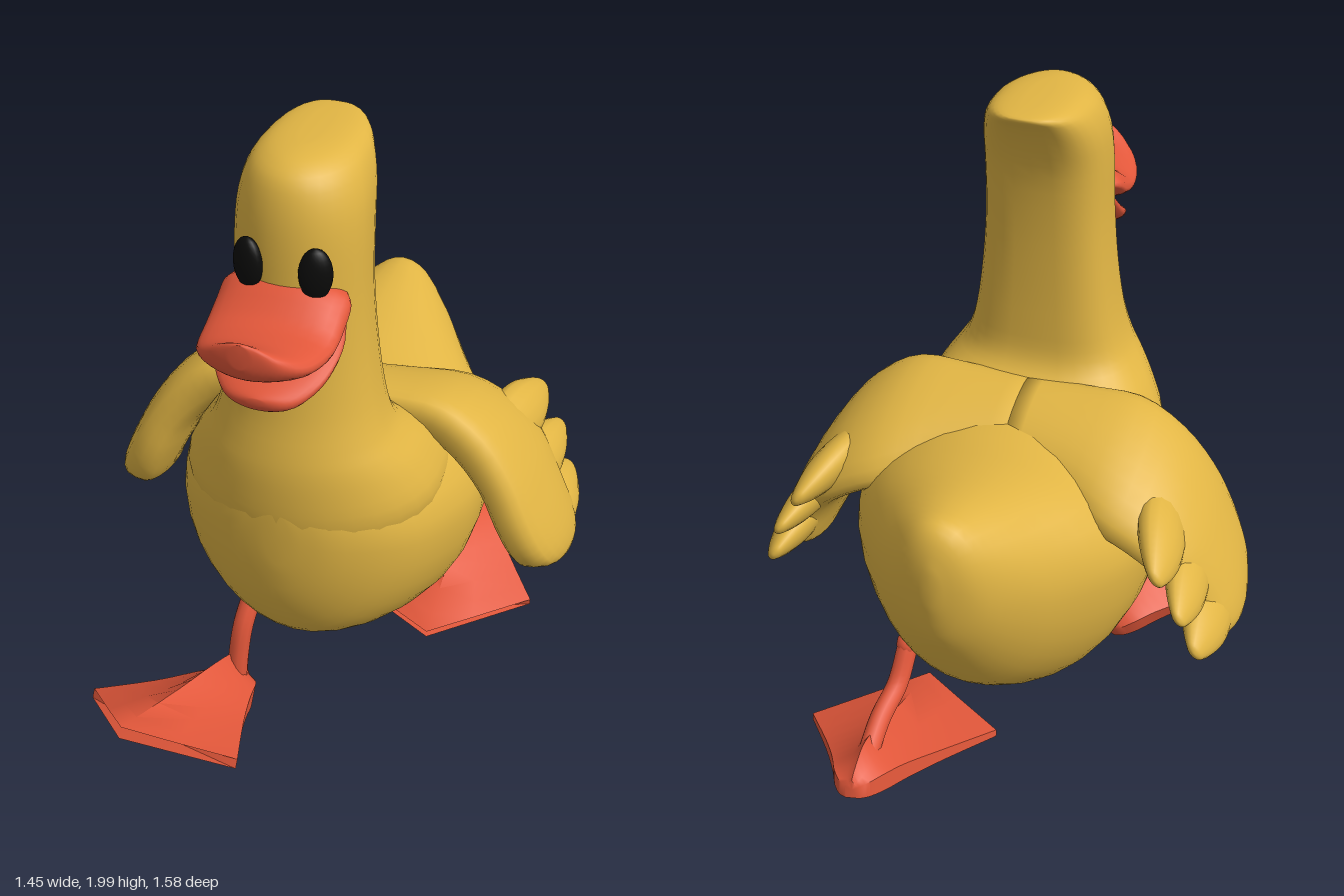
import * as THREE from 'three';
import { toCreasedNormals } from 'three/addons/utils/BufferGeometryUtils.js';

const V = (x, y, z) => new THREE.Vector3(x, y, z);
const yellow = new THREE.MeshStandardMaterial({ color: 0xe1b544 });
yellow.name = 'yellow feathers';
const orange = new THREE.MeshStandardMaterial({ color: 0xe2573a });
orange.name = 'orange skin';
const black = new THREE.MeshStandardMaterial({ color: 0x0b0b0a });
black.name = 'black eyes';

// Resample rows of numbers with a Catmull-Rom spline
function smooth(rows, steps = 3) {
  const out = [];
  const at = (i) => rows[Math.min(Math.max(i, 0), rows.length - 1)];
  for (let i = 0; i < rows.length - 1; i++) {
    for (let s = 0; s < steps; s++) {
      const t = s / steps;
      out.push(at(i).map((b, k) => {
        const a = at(i - 1)[k], c = at(i + 1)[k], d = at(i + 2)[k];
        return b + 0.5 * t * (c - a + t * (2 * a - 5 * b + 4 * c - d + t * (3 * (b - c) + d - a)));
      }));
    }
  }
  out.push(rows[rows.length - 1]);
  return out;
}

// Closed skin over rings of points, with fan caps, always facing outwards
function loft(rings) {
  const n = rings[0].length, pts = rings.flat(), index = [];
  const quad = (a, b, c, d) => index.push(a, b, c, a, c, d);
  for (let r = 0; r < rings.length - 1; r++) {
    for (let i = 0; i < n; i++) {
      const j = (i + 1) % n;
      quad(r * n + i, r * n + j, (r + 1) * n + j, (r + 1) * n + i);
    }
  }
  [0, rings.length - 1].forEach((r, end) => {
    const centre = rings[r].reduce((s, p) => s.add(p), V(0, 0, 0)).divideScalar(n);
    const c = pts.push(centre) - 1;
    for (let i = 0; i < n; i++) {
      const a = r * n + i, b = r * n + (i + 1) % n;
      index.push(c, end ? a : b, end ? b : a);
    }
  });
  let volume = 0;
  for (let i = 0; i < index.length; i += 3) {
    volume += pts[index[i]].dot(V(0, 0, 0).crossVectors(pts[index[i + 1]], pts[index[i + 2]]));
  }
  if (volume < 0) index.reverse();
  const geo = new THREE.BufferGeometry().setFromPoints(pts);
  geo.setIndex(index);
  geo.computeVertexNormals();
  return geo;
}

const ring = (n, f) => Array.from({ length: n }, (_, i) => {
  const a = (i / n) * Math.PI * 2;
  return f(Math.cos(a), Math.sin(a));
});
const boxy = (v, e) => Math.sign(v) * Math.abs(v) ** e;

// Rows [z, bottom, widest y, top, half width]
const loftAlongZ = (rows, n = 28) => loft(smooth(rows).map(([z, b, m, t, w]) =>
  ring(n, (c, s) => V(c * w, m + s * (s > 0 ? t - m : m - b), z))));

// Rows [y, half width, front z, back z], squarer towards the back
const loftAlongY = (rows, n = 32) => loft(smooth(rows).map(([y, w, f, b]) => ring(n, (c, s) => {
  const e = s < 0 ? 0.7 : 1;
  return V(boxy(c, e) * w, y, (f + b) / 2 + boxy(s, e) * (f - b) / 2);
})));

function add(parent, name, geo, mat) {
  const mesh = new THREE.Mesh(geo, mat);
  mesh.name = name;
  parent.add(mesh);
  return mesh;
}

// Wing: palm arching out from the shoulder, ending in three feather fingers
function wing(side) {
  const g = new THREE.Group();
  g.name = side > 0 ? 'leftWing' : 'rightWing';
  // Rows: x, y, half thickness, front z, back z, backward slope, arm angle
  const palm = smooth([
    [0, 1.055, 0.085, 0.075, -0.2, 0.3, 0], [0.18, 1.055, 0.085, 0.08, -0.25, 0.3, -0.05],
    [0.32, 1.035, 0.09, 0.09, -0.33, 0.32, -0.35], [0.43, 0.975, 0.09, 0.1, -0.345, 0.25, -0.75],
    [0.515, 0.89, 0.082, 0.115, -0.34, 0.15, -1], [0.57, 0.8, 0.08, 0.125, -0.31, 0.05, -1.1],
    [0.615, 0.71, 0.079, 0.11, -0.29, 0, -1.15], [0.645, 0.64, 0.075, 0.065, -0.29, 0, -1.25],
    [0.658, 0.59, 0.066, -0.02, -0.26, 0, -1.4], [0.658, 0.567, 0.03, -0.09, -0.21, 0, -1.5]]);
  const geos = [loft(palm.map(([x, y, h, f, b, slope, angle]) => ring(24, (c, s) => {
    const dz = s * (f - b) / 2, t = boxy(c, s > 0 ? 0.65 : 0.9) * h;
    return V(x - Math.sin(angle) * t, y + Math.cos(angle) * t + slope * dz, (f + b) / 2 + dz);
  })))];
  // Fingers: base point, tip point, base radius
  [[V(0.47, 0.95, -0.12), V(0.53, 0.925, -0.46), 0.088],
    [V(0.56, 0.805, -0.12), V(0.6, 0.797, -0.455), 0.08],
    [V(0.635, 0.665, -0.1), V(0.645, 0.665, -0.425), 0.088]].forEach(([a, b, r]) => {
    const rows = smooth([[0, 0.75], [0.35, 0.95], [0.6, 0.88], [0.8, 0.64], [0.93, 0.39], [0.98, 0.24], [1, 0.06]]);
    geos.push(loft(rows.map(([t, k]) => {
      const p = a.clone().lerp(b, t);
      // lean each feather with the arm
      return ring(16, (c, s) => V(p.x + (c * 0.72 - s * 0.4) * r * k, p.y + s * r * k, p.z));
    })));
  });
  geos.forEach((geo, i) => {
    if (side < 0) {
      geo.scale(-1, 1, 1);
      geo.index.array.reverse();
      geo.computeVertexNormals();
    }
    add(g, i ? 'wingFeather' : 'wingPalm', geo, yellow);
  });
  return g;
}

// Webbed foot spreading from the heel to two corners and a middle toe
function foot(heel, a, toe, b, ridgeScale) {
  const across = b.clone().sub(a).normalize();
  const up = across.clone().cross(toe.clone().sub(heel)).normalize();
  if (up.y < 0) up.negate();
  const lift = (p, h) => p.clone().addScaledVector(up, h * ridgeScale);
  // Rows: distance, extra width, edge thickness, ridge height
  const rows = smooth([[0, 0.02, 0.05, 0.08], [0.04, 0.035, 0.065, 0.11], [0.15, 0.035, 0.075, 0.16],
    [0.32, 0.02, 0.07, 0.145], [0.6, 0.006, 0.05, 0.095], [1, 0, 0.03, 0.035]]);
  const rings = rows.map(([u, w, edge, ridge]) => {
    const l = heel.clone().lerp(a, u).addScaledVector(across, -w);
    const m = heel.clone().lerp(toe, u);
    const r = heel.clone().lerp(b, u).addScaledVector(across, w);
    const hollow = edge + 0.3 * (ridge - edge);
    return [l, m, r, lift(r, edge), lift(r.clone().lerp(m, 0.55), hollow), lift(m, ridge),
      lift(l.clone().lerp(m, 0.55), hollow), lift(l, edge)];
  });
  return toCreasedNormals(loft(rings), 0.9);
}

function leg(name, path, radius, footGeo) {
  const g = new THREE.Group();
  g.name = name;
  add(g, 'shin', new THREE.TubeGeometry(new THREE.CatmullRomCurve3(path), 16, radius, 10), orange);
  const hip = add(g, 'hip', new THREE.SphereGeometry(radius * 1.12, 12, 8), orange);
  hip.position.copy(path[0]);
  add(g, 'webbedFoot', footGeo, orange);
  return g;
}

export function createModel() {
  const duck = new THREE.Group();
  duck.name = 'duck';

  // Round belly rising to a pointed tail
  add(duck, 'bodyAndTail', loftAlongZ([
    [0.488, 0.82, 0.91, 1.0, 0.04], [0.465, 0.66, 0.89, 1.08, 0.15], [0.4, 0.5, 0.87, 1.13, 0.265],
    [0.3, 0.41, 0.84, 1.15, 0.355], [0.15, 0.33, 0.81, 1.14, 0.42], [0, 0.285, 0.78, 1.12, 0.45],
    [-0.2, 0.268, 0.78, 1.1, 0.44], [-0.35, 0.3, 0.79, 1.115, 0.39], [-0.5, 0.42, 0.82, 1.14, 0.29],
    [-0.6, 0.55, 0.87, 1.152, 0.215], [-0.68, 0.7, 0.92, 1.155, 0.14], [-0.72, 0.8, 0.97, 1.11, 0.08],
    [-0.74, 0.92, 0.97, 1.03, 0.02]], 32), yellow);

  // Chest, neck and crested head
  add(duck, 'neckAndHead', loftAlongY([
    [0.88, 0.36, 0.475, -0.18], [0.97, 0.375, 0.488, -0.16],
    [1.07, 0.33, 0.488, -0.08], [1.14, 0.28, 0.482, 0.03], [1.2, 0.244, 0.47, 0.075],
    [1.3, 0.216, 0.447, 0.085], [1.45, 0.194, 0.428, 0.09], [1.62, 0.18, 0.42, 0.088],
    [1.78, 0.176, 0.413, 0.073], [1.88, 0.168, 0.4, 0.04], [1.95, 0.146, 0.375, 0],
    [1.983, 0.115, 0.335, -0.028], [1.996, 0.075, 0.29, -0.022], [2.0, 0.03, 0.24, 0.03]]), yellow);

  duck.add(wing(1), wing(-1));

  // Upturned upper bill and open lower bill
  add(duck, 'upperBill', loftAlongZ([
    [0.335, 1.635, 1.655, 1.68, 0.15], [0.37, 1.6, 1.64, 1.7, 0.173], [0.42, 1.56, 1.61, 1.69, 0.175],
    [0.5, 1.538, 1.585, 1.635, 0.174], [0.58, 1.54, 1.588, 1.637, 0.16], [0.63, 1.552, 1.6, 1.652, 0.138],
    [0.665, 1.568, 1.62, 1.673, 0.105], [0.685, 1.592, 1.64, 1.688, 0.07], [0.695, 1.62, 1.655, 1.688, 0.025]]), orange);
  add(duck, 'lowerBill', loftAlongZ([
    [0.34, 1.57, 1.62, 1.67, 0.15], [0.4, 1.5, 1.55, 1.6, 0.167], [0.46, 1.455, 1.515, 1.55, 0.163],
    [0.52, 1.43, 1.485, 1.515, 0.143], [0.57, 1.42, 1.46, 1.49, 0.105], [0.595, 1.43, 1.455, 1.478, 0.065],
    [0.605, 1.45, 1.46, 1.47, 0.02]]), orange);

  // Oval eyes
  for (const side of [-1, 1]) {
    const eye = add(duck, side > 0 ? 'leftEye' : 'rightEye', new THREE.SphereGeometry(1, 20, 14), black);
    eye.scale.set(0.044, 0.073, 0.028);
    eye.position.set(side * 0.09, 1.733, 0.402);
    eye.rotation.y = side * 0.35;
  }

  // Right leg strides forward, left leg pushes off behind
  duck.add(leg('rightLeg', [V(-0.2, 0.4, 0.2), V(-0.215, 0.31, 0.25), V(-0.225, 0.2, 0.275), V(-0.23, 0.09, 0.29)], 0.033,
    foot(V(-0.22, 0.01, 0.265), V(-0.62, 0.115, 0.53), V(-0.39, 0.285, 0.79), V(-0.07, 0.165, 0.69), 1)));
  duck.add(leg('leftLeg', [V(0.24, 0.39, -0.375), V(0.25, 0.285, -0.45), V(0.265, 0.235, -0.55), V(0.265, 0.17, -0.67)], 0.033,
    foot(V(0.26, 0.13, -0.785), V(0.56, 0.015, -0.44), V(0.27, 0.025, -0.16), V(-0.02, 0.02, -0.32), 0.8)));

  return duck;
}
